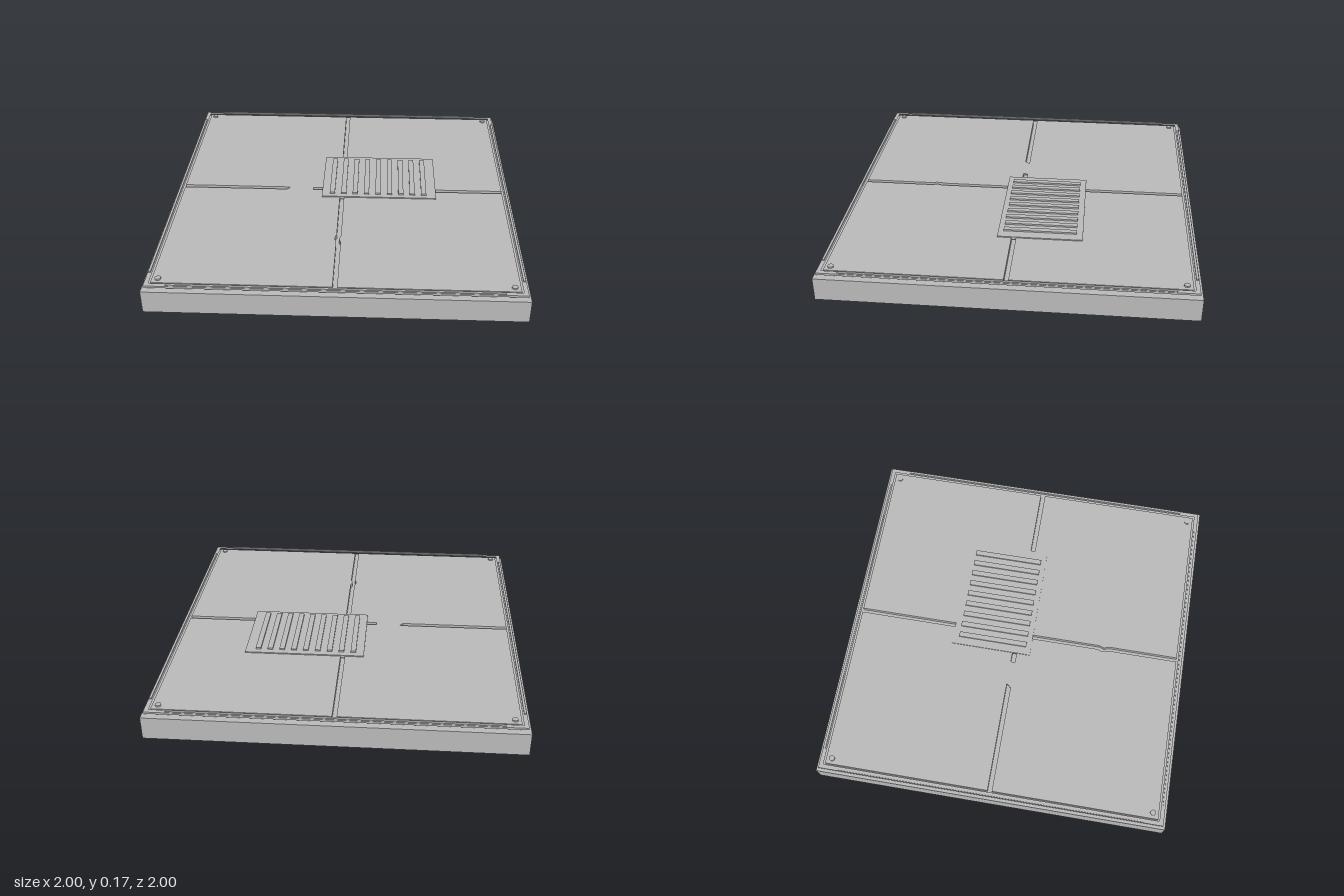
import * as THREE from 'three';

export function createModel() {
  const model = new THREE.Group();
  const stone = new THREE.MeshStandardMaterial({ color: 0xb8b8b8 });
  stone.name = 'grey stone';

  const add = (name, geometry, parent = model) => {
    const mesh = new THREE.Mesh(geometry, stone);
    mesh.name = name;
    parent.add(mesh);
    return mesh;
  };
  // Box given by its limits on each axis
  const block = (name, x0, x1, y0, y1, z0, z1, parent) => {
    const mesh = add(name, new THREE.BoxGeometry(x1 - x0, y1 - y0, z1 - z0), parent);
    mesh.position.set((x0 + x1) / 2, (y0 + y1) / 2, (z0 + z1) / 2);
    return mesh;
  };
  // Flat slab from an outline of [x, z] points
  const outline = (points) => points.map(([x, z]) => new THREE.Vector2(x, -z));
  const slab = (name, points, y0, y1, hole) => {
    const shape = new THREE.Shape(outline(points));
    if (hole) shape.holes.push(new THREE.Path(outline(hole)));
    const geometry = new THREE.ExtrudeGeometry(shape, { depth: y1 - y0, bevelEnabled: false });
    geometry.rotateX(-Math.PI / 2);
    add(name, geometry).position.y = y0;
  };
  const square = (r) => [[-r, -r], [r, -r], [r, r], [-r, r]];

  // Solid base
  block('base', -1, 1, 0, 0.13, -1, 1);

  // Four floor plates, separated by narrow grooves; the front ones have chipped edges
  const e = 0.953, top = 0.157;
  slab('backLeftPlate', [[0.011, -e], [e, -e], [e, -0.014], [0.011, -0.014]], 0.13, top);
  slab('backRightPlate', [[-e, -e], [-0.013, -e], [-0.013, -0.014], [-e, -0.014]], 0.13, top);
  slab('frontLeftPlate', [[0.011, 0.011], [e, 0.011], [e, e], [0.011, e],
    [0.011, 0.55], [0.001, 0.52], [0.011, 0.49]], 0.13, top);
  slab('frontRightPlate', [[-e, 0.011], [-0.013, 0.011], [-0.013, 0.48], [-0.02, 0.5],
    [-0.02, 0.53], [-0.013, 0.55], [-0.013, e], [-e, e]], 0.13, top);

  // Thin bridge closing part of the cross groove
  slab('grooveBridge', [[-0.315, -0.014], [-0.177, -0.014], [-0.177, 0.011], [-0.335, 0.011]], 0.147, top);

  // Raised border frame with a low rail on each side
  slab('borderFrame', square(0.985), 0.147, 0.158, square(0.961));
  for (let i = 0; i < 4; i++) {
    const side = new THREE.Group();
    side.name = 'borderSide';
    side.rotation.y = i * Math.PI / 2;
    block('borderRail', -0.87, 0.87, 0.158, 0.165, 0.969, 0.982, side);
    // Corner bolt
    add('cornerBolt', new THREE.CylinderGeometry(0.016, 0.016, 0.01, 12), side)
      .position.set(0.92, 0.16, 0.92);
    model.add(side);
  }

  // Grate plate with nine slats
  const grate = new THREE.Group();
  grate.name = 'grate';
  block('gratePlate', -0.12, 0.557, 0.145, 0.163, -0.38, 0.09, grate);
  for (let i = 0; i < 9; i++) {
    const x = -0.059 + i * 0.068;
    block('grateSlat', x - 0.015, x + 0.015, 0.16, 0.172, -0.345, 0.06, grate);
  }
  model.add(grate);
  return model;
}
